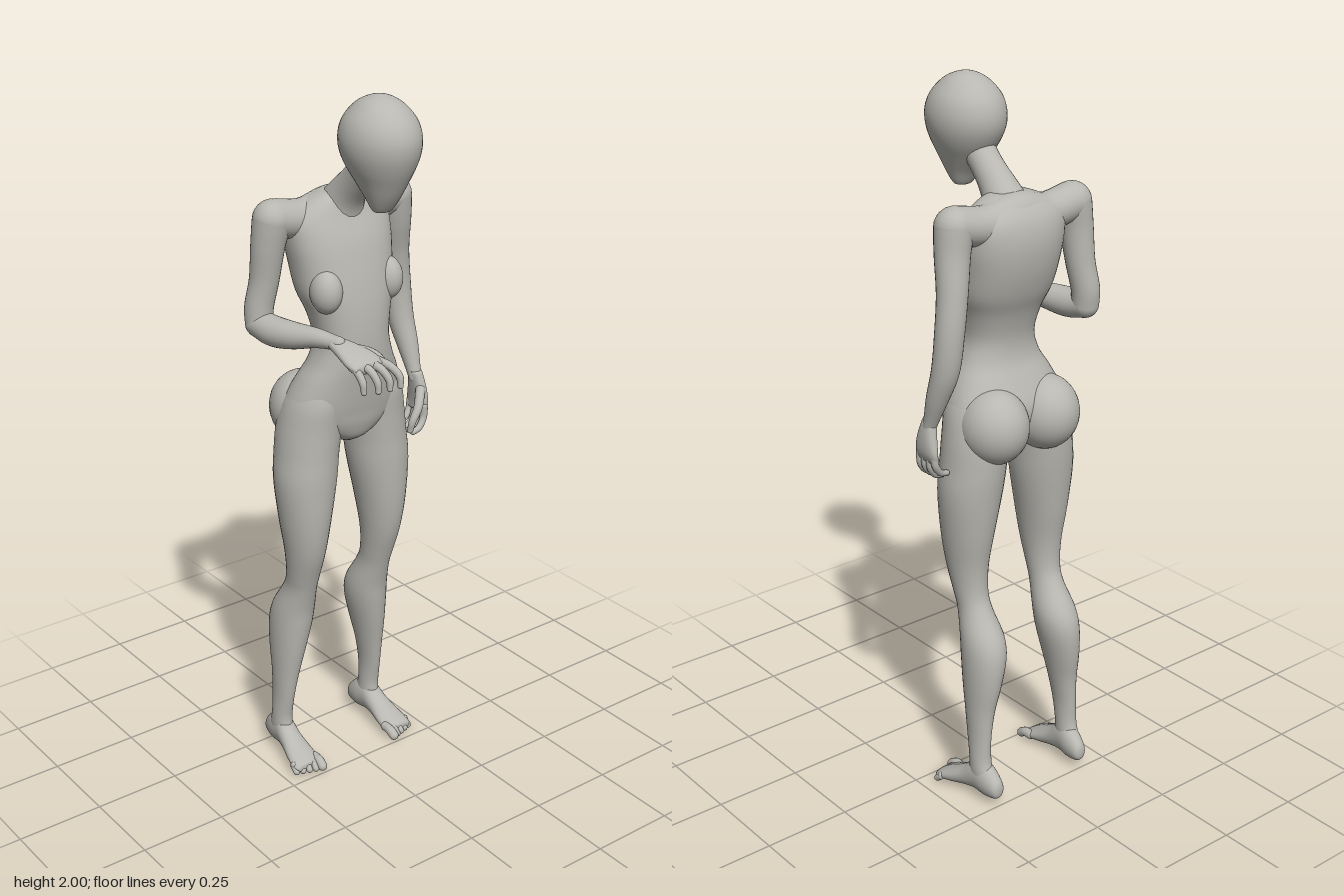
import * as THREE from 'three';
import { mergeGeometries, mergeVertices } from 'three/addons/utils/BufferGeometryUtils.js';

// Catmull-Rom value of a number list at t in 0..1
function spline(list, t) {
  const n = list.length - 1, i = Math.min(n - 1, Math.floor(t * n)), f = t * n - i;
  const p1 = list[i], p2 = list[i + 1];
  const m1 = (p2 - (list[i - 1] ?? p1)) / 2, m2 = ((list[i + 2] ?? p2) - p1) / 2;
  const f2 = f * f, f3 = f2 * f;
  return (2 * f3 - 3 * f2 + 1) * p1 + (f3 - 2 * f2 + f) * m1 + (3 * f2 - 2 * f3) * p2 + (f3 - f2) * m2;
}

// Rows ascend along the axis: [position, centreX, halfWidth, max, min], where max and min
// bound the section in z (axis 'y') or in y (axis 'z'). power above 2 squares the section.
function loft(rows, axis = 'y', power = 2, sides = 32) {
  const cols = rows[0].map((_, c) => rows.map(r => r[c]));
  const steps = (rows.length - 1) * 4, pos = [], index = [];
  const put = (x, along, other) => axis === 'y' ? pos.push(x, along, other) : pos.push(x, other, along);
  const round = v => Math.sign(v) * Math.abs(v) ** (2 / power);
  const tri = (a, b, c) => axis === 'y' ? index.push(a, c, b) : index.push(a, b, c);
  for (let k = 0; k <= steps; k++) {
    const [p, cx, rx, hi, lo] = cols.map(c => spline(c, k / steps));
    for (let s = 0; s < sides; s++) {
      const a = s / sides * Math.PI * 2;
      put(cx + rx * round(Math.cos(a)), p, (hi + lo) / 2 + (hi - lo) / 2 * round(Math.sin(a)));
    }
  }
  for (let k = 0; k < steps; k++) for (let s = 0; s < sides; s++) {
    const a = k * sides + s, b = k * sides + (s + 1) % sides;
    tri(a, b, b + sides);
    tri(a, b + sides, a + sides);
  }
  const first = rows[0], last = rows[rows.length - 1], c = pos.length / 3;
  for (const r of [first, last]) put(r[1], r[0], (r[3] + r[4]) / 2);
  for (let s = 0; s < sides; s++) {
    const n = (s + 1) % sides, top = steps * sides;
    tri(c, n, s);
    tri(c + 1, top + s, top + n);
  }
  const g = new THREE.BufferGeometry();
  g.setAttribute('position', new THREE.Float32BufferAttribute(pos, 3));
  g.setIndex(index);
  g.computeVertexNormals();
  return g;
}

// Round tube with ball ends through points [x, y, z, radius]
function limb(points, sides = 20) {
  const curve = new THREE.CatmullRomCurve3(points.map(p => new THREE.Vector3(p[0], p[1], p[2])));
  const steps = points.length * 7, radii = points.map(p => p[3]);
  let tube = new THREE.TubeGeometry(curve, steps, 1, sides);
  const pos = tube.attributes.position, v = new THREE.Vector3();
  for (let i = 0; i < pos.count; i++) {
    const u = Math.floor(i / (sides + 1)) / steps, c = curve.getPointAt(u);
    v.fromBufferAttribute(pos, i).sub(c).multiplyScalar(spline(radii, curve.getUtoTmapping(u))).add(c);
    pos.setXYZ(i, v.x, v.y, v.z);
  }
  tube.deleteAttribute('uv');
  tube.deleteAttribute('normal');
  tube = mergeVertices(tube, 1e-5);
  tube.computeVertexNormals();
  const ends = [points[0], points[points.length - 1]].map(p => {
    const s = new THREE.SphereGeometry(p[3], sides, 12).translate(p[0], p[1], p[2]);
    s.deleteAttribute('uv');
    return s;
  });
  return mergeGeometries([tube, ...ends]);
}

const ball = (x, y, z, rx, ry, rz) =>
  new THREE.SphereGeometry(1, 32, 24).scale(rx, ry, rz).translate(x, y, z);

export function createModel() {
  const model = new THREE.Group();
  const skin = new THREE.MeshStandardMaterial({ color: 0xb8b7b1 });
  skin.name = 'warm grey';
  const add = (name, geometry) => {
    const mesh = new THREE.Mesh(geometry, skin);
    mesh.name = name;
    model.add(mesh);
  };

  // Smooth egg head, bowed forward
  add('head', loft([
    [1.70, 0, .012, .1, .08], [1.706, 0, .029, .112, .068], [1.74, 0, .047, .137, .045],
    [1.78, 0, .066, .16, .012], [1.82, 0, .086, .18, -.018], [1.86, 0, .099, .193, -.036],
    [1.90, 0, .101, .194, -.038], [1.94, 0, .089, .178, -.024], [1.975, 0, .06, .145, .008],
    [1.993, 0, .031, .11, .043], [2.0, 0, .004, .08, .072]], 'y', 2, 40));
  add('neck', limb([[0, 1.84, .06, .045], [0, 1.768, -.01, .043], [0, 1.712, -.063, .052], [0, 1.64, -.11, .075]]));

  // Torso and shoulder line
  add('torso', loft([
    [1.02, 0, .03, -.04, -.12], [1.04, 0, .07, -.012, -.16], [1.08, 0, .14, .004, -.18],
    [1.12, 0, .178, .012, -.188], [1.16, 0, .174, .02, -.186], [1.22, 0, .148, .03, -.16],
    [1.27, 0, .121, .038, -.138], [1.33, 0, .105, .04, -.134], [1.40, 0, .117, .036, -.152],
    [1.46, 0, .138, .028, -.178], [1.53, 0, .147, .014, -.198], [1.60, 0, .155, -.005, -.205],
    [1.66, 0, .15, -.03, -.194], [1.70, 0, .1, -.045, -.165], [1.72, 0, .05, -.06, -.13]], 'y', 2.3, 48));
  add('shoulderLine', limb([[-.195, 1.666, -.12, .052], [-.1, 1.652, -.122, .052], [0, 1.668, -.122, .056],
    [.1, 1.652, -.122, .052], [.195, 1.666, -.12, .052]], 28));

  for (const [side, s] of [['left', 1], ['right', -1]]) {
    add(side + 'Breast', ball(s * .1, 1.475, -.02, .042, .06, .048));
    add(side + 'Buttock', ball(s * .088, 1.108, -.145, .094, .104, .1));
    // Leg from hip to ankle
    add(side + 'Leg', loft([
      [.05, .16, .024, -.15, -.22], [.09, .16, .028, -.142, -.222], [.13, .16, .028, -.143, -.212],
      [.20, .158, .028, -.13, -.212], [.28, .152, .036, -.117, -.216], [.36, .144, .047, -.102, -.229],
      [.44, .135, .057, -.09, -.233], [.50, .131, .057, -.082, -.217], [.57, .13, .045, -.064, -.172],
      [.62, .131, .046, -.048, -.152], [.70, .132, .055, -.022, -.152], [.80, .131, .07, -.006, -.168],
      [.92, .125, .087, .0, -.183], [1.0, .117, .088, .0, -.19], [1.08, .107, .088, .002, -.19],
      [1.16, .1, .075, .006, -.17], [1.23, .09, .045, -.01, -.12]].map(r => [r[0], s * r[1], ...r.slice(2)])));
    // Foot with five toes
    add(side + 'Foot', loft([
      [-.256, .154, .006, .06, .045], [-.248, .154, .02, .082, .026], [-.21, .156, .03, .115, .018],
      [-.17, .159, .031, .122, .022], [-.13, .162, .034, .09, .018], [-.09, .165, .041, .064, .01],
      [-.05, .167, .045, .042, .006], [-.03, .167, .038, .03, .008]].map(r => [r[0], s * r[1], ...r.slice(2)]), 'z'));
    for (let i = 0; i < 5; i++) {
      const x = s * (.132 + i * .0185), r = i ? .0095 : .014, tip = -.014 - i * .0065;
      add(side + 'Toe', limb([[x, .026, -.055, r], [x, .024, tip - .017, r], [x + s * .001, r, tip, r]], 12));
    }
  }

  // Left arm hanging, palm to the body
  add('leftArm', limb([[.197, 1.665, -.12, .052], [.207, 1.6, -.126, .047], [.222, 1.5, -.143, .041],
    [.236, 1.4, -.149, .039], [.243, 1.3, -.14, .037], [.25, 1.22, -.115, .03], [.253, 1.13, -.083, .019]], 28));
  add('leftPalm', loft([[1.035, .256, .01, -.045, -.118], [1.06, .26, .015, -.038, -.122],
    [1.10, .258, .018, -.045, -.113], [1.15, .252, .017, -.062, -.102]], 'y', 2.3));
  for (let i = 0; i < 4; i++) {
    const z = -.047 - i * .021, d = i === 3 ? .012 : 0;
    add('leftFinger', limb([[.258, 1.05, z, .011], [.255, 1.015 + d, z, .0105],
      [.236, .99 + d, z + .004, .0095], [.214, .983 + d, z + .006, .008]], 12));
  }
  add('leftThumb', limb([[.25, 1.1, -.055, .014], [.222, 1.06, -.03, .013], [.2, 1.025, -.026, .011], [.195, .998, -.03, .009]], 12));

  // Right arm with the forearm raised forward
  add('rightUpperArm', limb([[-.197, 1.665, -.12, .052], [-.207, 1.6, -.126, .046], [-.214, 1.5, -.138, .04],
    [-.226, 1.42, -.148, .039], [-.228, 1.38, -.145, .038]], 28));
  add('rightForearm', limb([[-.228, 1.38, -.145, .038], [-.22, 1.373, -.09, .041], [-.206, 1.376, -.03, .037],
    [-.18, 1.386, .05, .026], [-.16, 1.386, .115, .019]], 28));
  add('rightPalm', loft([[.1, -.163, .021, 1.402, 1.37], [.14, -.148, .037, 1.39, 1.352],
    [.18, -.135, .05, 1.372, 1.335], [.21, -.128, .046, 1.352, 1.328]], 'z', 2.3));
  for (let i = 0; i < 4; i++) {
    const x = -.169 + i * .0265, t = -.163 + i * .034, z = [-.02, -.004, 0, 0][i];
    add('rightFinger', limb([[x, 1.346, .185, .012], [(x + t) / 2, 1.338, .222 + z, .011],
      [t, 1.312, .243 + z, .01], [t, 1.288, .247 + z, .008]], 12));
  }
  add('rightThumb', limb([[-.125, 1.37, .135, .014], [-.092, 1.36, .16, .013], [-.075, 1.345, .18, .011], [-.068, 1.325, .19, .009]], 12));

  model.children.forEach(m => { m.position.x = -.005; });
  return model;
}
